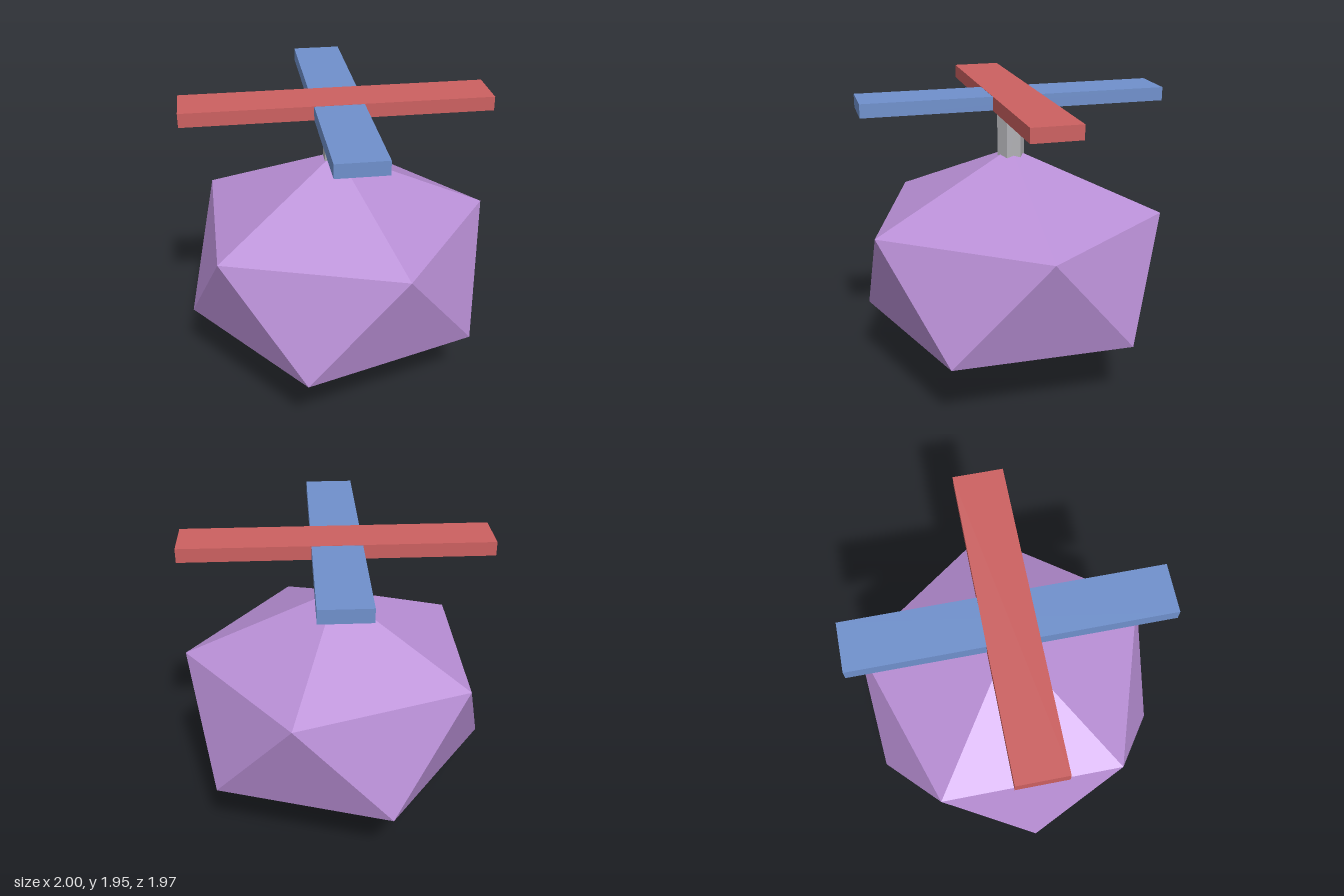
import * as THREE from 'three';
import { ConvexGeometry } from 'three/addons/geometries/ConvexGeometry.js';

const material = (name, color) => {
  const m = new THREE.MeshStandardMaterial({ color, flatShading: true });
  m.name = name;
  return m;
};

export function createModel() {
  const group = new THREE.Group();
  const purple = material('purple', 0xb98fd6);
  const grey = material('grey', 0xb0b0b4);
  const red = material('red', 0xcc6060);
  const blue = material('blue', 0x6f90cc);

  const add = (name, geometry, mat, y) => {
    const mesh = new THREE.Mesh(geometry, mat);
    mesh.name = name;
    mesh.position.y = y;
    group.add(mesh);
  };

  // Squashed icosahedron: two apexes and two staggered rings of five
  const points = [new THREE.Vector3(0, 0.785, 0), new THREE.Vector3(0, -0.785, 0)];
  for (let i = 0; i < 5; i++) {
    const a = (i * Math.PI * 2) / 5;
    points.push(new THREE.Vector3(Math.cos(a), 0.35, Math.sin(a)));
    points.push(new THREE.Vector3(-Math.cos(a), -0.35, -Math.sin(a)));
  }
  add('body', new ConvexGeometry(points), purple, 0.787);

  // Six-sided mast, sunk into the body and the rotor
  add('mast', new THREE.CylinderGeometry(0.09, 0.09, 0.42, 6), grey, 1.68);

  // Crossed rotor blades; the red one is a hair thicker so it covers the crossing
  add('sideBlade', new THREE.BoxGeometry(1.965, 0.09, 0.314), red, 1.907);
  add('foreAftBlade', new THREE.BoxGeometry(0.314, 0.087, 1.965), blue, 1.907);

  return group;
}
